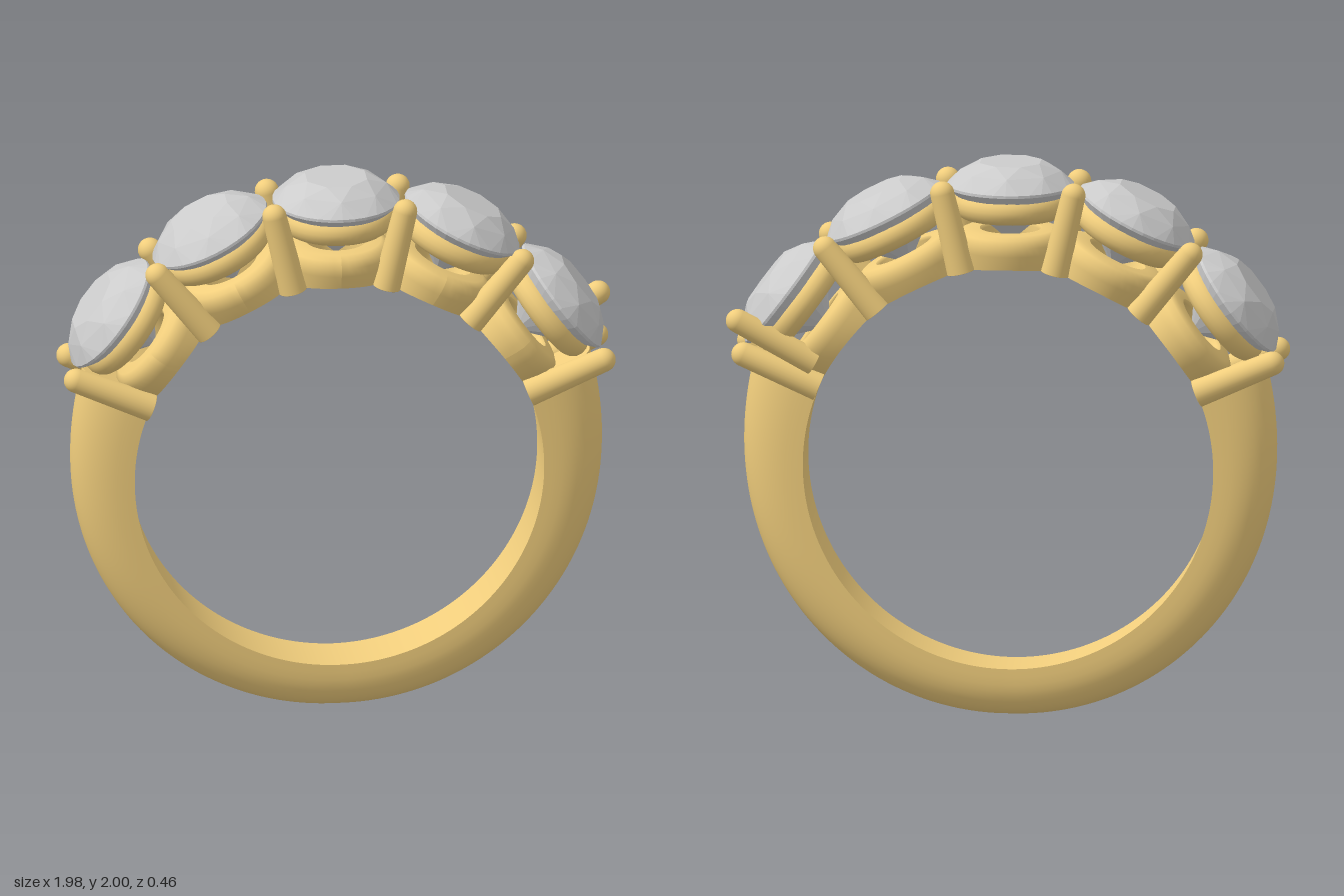
import * as THREE from 'three';
import { ConvexGeometry } from 'three/addons/geometries/ConvexGeometry.js';

const R = 0.73;                 // finger hole radius
const CY = 0.91;                // finger hole centre height
const DEG = Math.PI / 180;
const STEP = 26.6 * DEG;        // angle between neighbouring stones

const gold = new THREE.MeshStandardMaterial({ color: 0xf0cd7c });
const gem = new THREE.MeshStandardMaterial({ color: 0xcccccc, flatShading: true });

function part(name, geometry, material) {
  const mesh = new THREE.Mesh(geometry, material);
  mesh.name = name;
  return mesh;
}

// Group at the finger hole centre whose +y points outwards at angle a from the top
function spoke(name, a) {
  const g = new THREE.Group();
  g.name = name;
  g.rotation.z = -a;
  return g;
}

// D-shaped band swept round the bottom, thicker towards the stones
function shankGeometry() {
  const end = 114 * DEG, n = 120, m = 20;
  const pos = [], idx = [];
  // flat inside face has its own corner points so its edges stay sharp
  const section = (t, w) => {
    const pts = [[0, w], [0, -w], [0, -w]];
    for (let j = 0; j <= m; j++) {
      const b = -Math.PI / 2 + Math.PI * j / m;
      pts.push([0.03 + (t - 0.03) * Math.pow(Math.max(0, Math.cos(b)), 0.9), w * Math.sin(b)]);
    }
    pts.push([0, w]);
    return pts;
  };
  let k = 0;
  for (let i = 0; i <= n; i++) {
    const f = -end + 2 * end * i / n, s = Math.abs(f) / end;
    const pts = section(0.18 + 0.03 * s + 0.05 * s ** 6, 0.105 + 0.015 * s);
    k = pts.length;
    for (const [h, z] of pts) pos.push((R + h) * Math.sin(f), -(R + h) * Math.cos(f), z);
  }
  for (let i = 0; i < n; i++) {
    for (let j = 0; j < k - 1; j++) {
      if (j === 1) continue;
      const a = i * k + j, b = a + k;
      idx.push(a, b, a + 1, b, b + 1, a + 1);
    }
  }
  // end caps on their own points
  for (const [i, flip] of [[0, false], [n, true]]) {
    const o = pos.length / 3;
    pos.push(...pos.slice(i * k * 3, (i + 1) * k * 3));
    for (let j = 2; j < k - 1; j++) {
      if (flip) idx.push(o, o + j + 1, o + j);
      else idx.push(o, o + j, o + j + 1);
    }
  }
  const g = new THREE.BufferGeometry();
  g.setAttribute('position', new THREE.Float32BufferAttribute(pos, 3));
  g.setIndex(idx);
  g.computeVertexNormals();
  return g;
}

// Faceted round stone: table, crown, girdle, pavilion, culet
function stoneGeometry() {
  const pts = [];
  const ring = (r, h, n, turn) => {
    for (let i = 0; i < n; i++) {
      const a = (i + turn) / n * Math.PI * 2;
      pts.push(new THREE.Vector3(r * Math.cos(a), h, r * Math.sin(a)));
    }
  };
  ring(0.115, 0.09, 8, 0.5);
  ring(0.18, 0.058, 8, 0);
  ring(0.226, 0.01, 32, 0);
  ring(0.226, 0, 32, 0);
  ring(0.1, -0.115, 8, 0.5);
  pts.push(new THREE.Vector3(0, -0.2, 0));
  return new ConvexGeometry(pts);
}

// Lower seat: flared ring with a through hole, its underside curved to the finger hole
function seatGeometry() {
  const ri = 0.1, top = 0.85;
  const outline = [[ri, 0], [0.176, 0], [0.176, 0], [0.192, top - 0.07], [0.195, top - 0.04],
    [0.185, top - 0.012], [0.16, top], [ri + 0.01, top], [ri + 0.01, top], [ri, top - 0.01], [ri, 0]];
  const g = new THREE.LatheGeometry(outline.map(([x, y]) => new THREE.Vector2(x, y)), 48);
  const p = g.attributes.position;
  for (let i = 0; i < p.count; i++) {
    if (p.getY(i) === 0) p.setY(i, Math.sqrt(R * R - p.getX(i) ** 2));
  }
  g.computeVertexNormals();
  return g;
}

// Slightly tapered rod with a domed tip, from y = 0 to y = length
function prongGeometry(length, r0, r1) {
  const pts = [new THREE.Vector2(0, 0), new THREE.Vector2(r0, 0), new THREE.Vector2(r0, 0.001)];
  for (let i = 0; i <= 8; i++) {
    const a = i / 8 * Math.PI / 2;
    pts.push(new THREE.Vector2(i === 8 ? 0 : r1 * Math.cos(a), length - r1 + r1 * Math.sin(a)));
  }
  return new THREE.LatheGeometry(pts, 24);
}

export function createModel() {
  const model = new THREE.Group();
  model.name = 'ring';
  const hub = new THREE.Group();
  hub.name = 'ringBody';
  hub.position.set(-0.007, CY, 0);
  model.add(hub);

  hub.add(part('shank', shankGeometry(), gold));

  // Five stones, each over an upper ring and a lower seat
  const stoneGeo = stoneGeometry();
  const seatGeo = seatGeometry();
  const railGeo = new THREE.TorusGeometry(0.157, 0.051, 16, 48).rotateX(Math.PI / 2);
  for (let i = -2; i <= 2; i++) {
    const s = spoke('setting', i * STEP);
    const stone = part('stone', stoneGeo, gem);
    stone.position.y = 1.0;
    const rail = part('upperRing', railGeo, gold);
    rail.position.y = 0.94;
    s.add(stone, rail, part('lowerSeat', seatGeo, gold));
    hub.add(s);
  }

  // Prong pairs between the stones and at both ends; inner pairs have a bridge joining the seats
  const prongGeo = prongGeometry(0.335, 0.05, 0.043);
  const bridgeGeo = new THREE.BoxGeometry(0.09, 0.095, 0.25);
  for (const a of [-67, -39.5, -13.2, 13.2, 39.5, 67]) {
    const s = spoke('prongPair', a * DEG);
    for (const side of [-1, 1]) {
      const prong = part('prong', prongGeo, gold);
      prong.position.set(0, R, side * 0.125);
      s.add(prong);
    }
    if (Math.abs(a) < 60) {
      const bridge = part('seatBridge', bridgeGeo, gold);
      bridge.position.y = R + 0.05;
      s.add(bridge);
    }
    hub.add(s);
  }

  // Single spare prong standing out behind the left end stone
  const base = new THREE.Vector3(0.68, 1.29, -0.15);
  const dir = new THREE.Vector3(0.985, 1.465, -0.195).sub(base);
  const spare = part('spareProng', prongGeometry(dir.length(), 0.046, 0.042), gold);
  spare.position.copy(base);
  spare.quaternion.setFromUnitVectors(new THREE.Vector3(0, 1, 0), dir.normalize());
  model.add(spare);

  return model;
}
